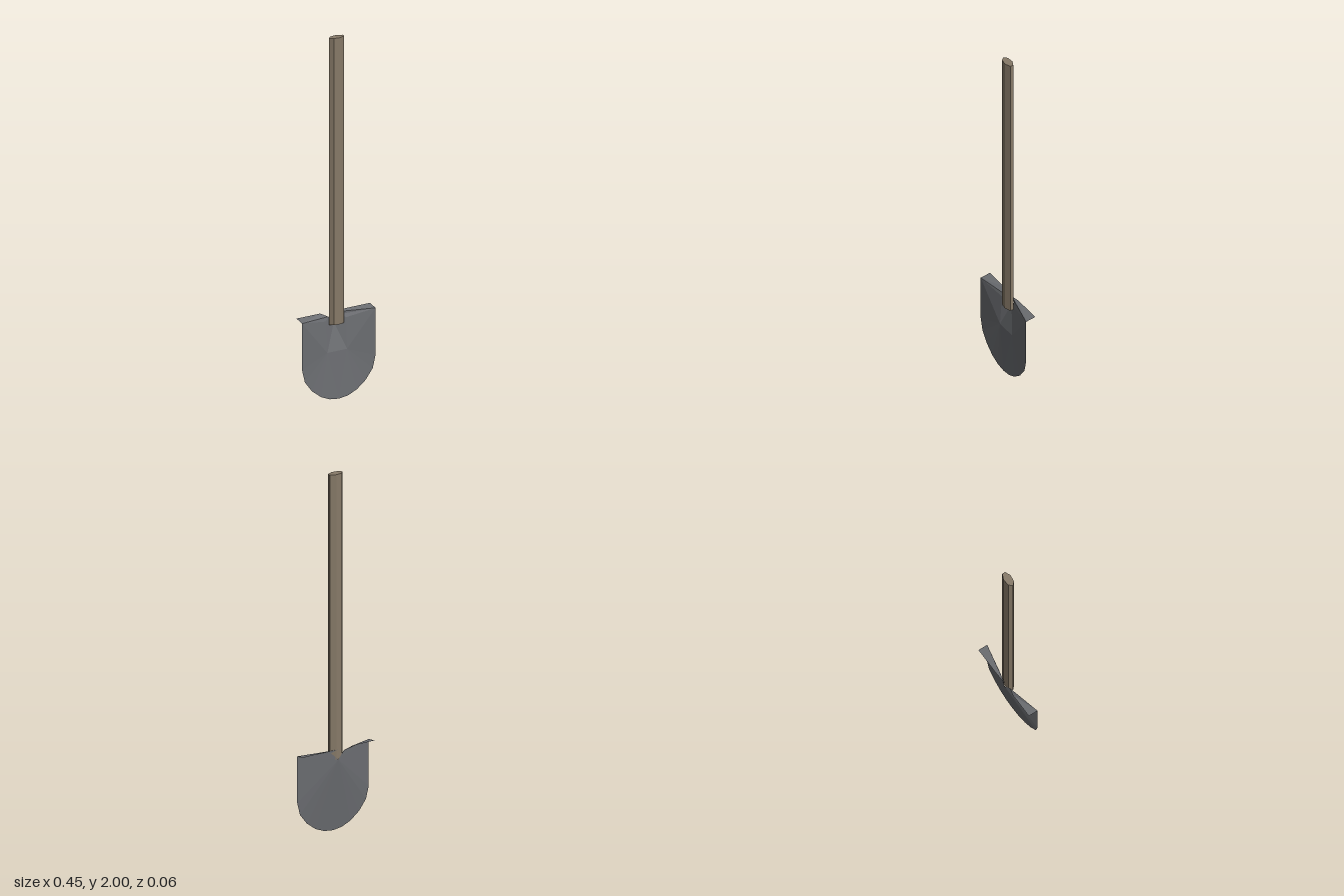
import * as THREE from 'three';

const steel = new THREE.MeshStandardMaterial({ color: 0x6b6d71, flatShading: true, side: THREE.DoubleSide });
steel.name = 'steel';
const wood = new THREE.MeshStandardMaterial({ color: 0x877a68, flatShading: true });
wood.name = 'wood';

// Mesh from a list of triangles, each made of three [x, y, z] points
function facets(name, triangles) {
  const geometry = new THREE.BufferGeometry();
  geometry.setAttribute('position', new THREE.Float32BufferAttribute(triangles.flat(2), 3));
  geometry.computeVertexNormals();
  const mesh = new THREE.Mesh(geometry, steel);
  mesh.name = name;
  return mesh;
}

// Triangles from a centre to each segment of a path
const fan = (centre, path) => path.slice(1).map((p, i) => [centre, path[i], p]);

export function createModel() {
  const model = new THREE.Group();
  model.name = 'shovel';

  // Seven-sided flattened shaft
  const section = new THREE.Shape([
    [-0.043, 0], [-0.026, -0.018], [0.012, -0.023], [0.043, -0.01],
    [0.043, 0.008], [0.012, 0.022], [-0.026, 0.018],
  ].map(([x, y]) => new THREE.Vector2(x, y)));
  const shaftGeometry = new THREE.ExtrudeGeometry(section, { depth: 1.59, bevelEnabled: false });
  shaftGeometry.rotateX(-Math.PI / 2).translate(0, 0.41, 0);
  const shaft = new THREE.Mesh(shaftGeometry, wood);
  shaft.name = 'shaft';
  model.add(shaft);

  // Rim of the blade: half outline from the top corner to the tip, then mirrored
  const half = [[0.225, 0.46], [0.225, 0.2], [0.208, 0.13], [0.165, 0.073], [0.11, 0.03], [0.055, 0.007]];
  const rightRim = half.map(([x, y]) => [x, y, 0.026]);
  const leftRim = rightRim.map(([x, y, z]) => [-x, y, z]);
  const tip = [0, 0, 0.026];
  const apex = [0, 0.41, -0.024];
  const neckR = [0.04, 0.45, -0.015];
  const neckL = [-0.04, 0.45, -0.015];

  // Back of the blade: shallow cone fanning out from the shaft end
  model.add(facets('bladeBack', fan(apex, [neckR, ...rightRim, tip, ...leftRim.reverse(), neckL])));
  leftRim.reverse();

  // Front of the blade: two cheeks beside the slot that holds the shaft
  const slotR = [0.06, 0.26, 0.01];
  const slotL = [-0.06, 0.26, 0.01];
  const sides = [
    { rim: rightRim, neck: neckR, slot: slotR, lip: [0.063, 0.43, -0.004] },
    { rim: leftRim, neck: neckL, slot: slotL, lip: [-0.063, 0.43, -0.004] },
  ];
  const front = [[slotL, slotR, tip], [slotL, slotR, apex]];
  for (const { rim, neck, slot, lip } of sides) {
    front.push(...fan(slot, [lip, ...rim, tip]), [neck, lip, rim[0]], [neck, lip, apex], [lip, slot, apex]);
  }
  model.add(facets('bladeFront', front));

  // Foot treads folded backwards along the top edge
  model.add(facets('footTreadRight', fan(rightRim[0], [
    [0.225, 0.47, -0.03], [0.06, 0.47, -0.03], [0, 0.465, -0.024], neckR,
  ])));
  model.add(facets('footTreadLeft', fan(leftRim[0], [
    [-0.225, 0.47, -0.03], [-0.08, 0.47, -0.03], neckL,
  ])));

  return model;
}
